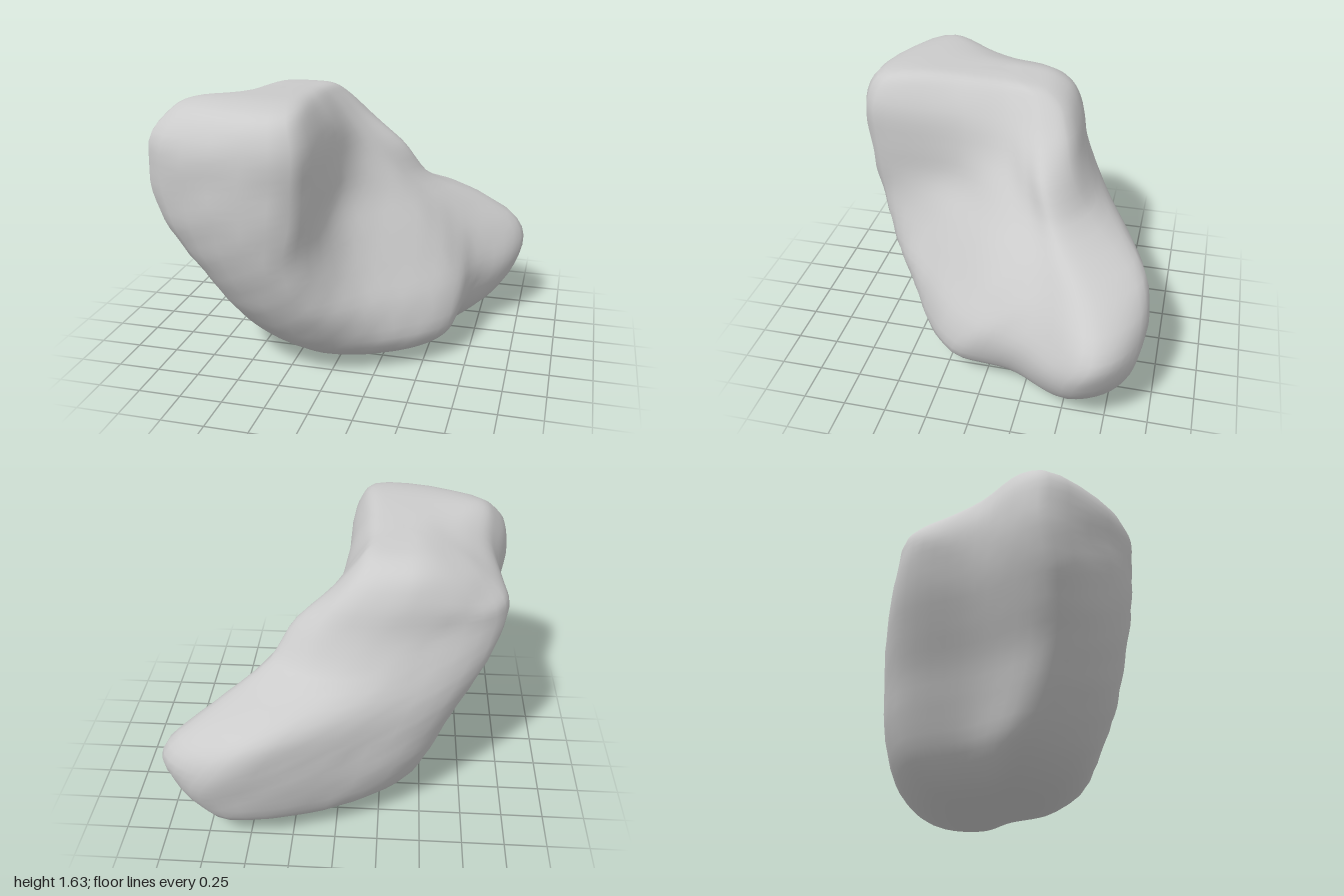
import * as THREE from 'three';

// Horizontal cross-sections: height, then eight (x, z) points running
// front-left, front, inner notch, flank, tail tip, tail back, back, far side.
const SECTIONS = [
  [0.18, -0.49, 0.37, -0.10, 0.58, 0.30, 0.46, 0.61, 0.20, 0.84, -0.54, 0.68, -0.81, 0.06, -0.70, -0.41, -0.38],
  [0.40, -0.61, 0.54, -0.10, 0.74, 0.27, 0.49, 0.65, 0.11, 0.98, -0.60, 0.76, -0.89, 0.00, -0.75, -0.54, -0.39],
  [0.60, -0.70, 0.64, -0.14, 0.82, 0.17, 0.46, 0.57, 0.03, 0.97, -0.68, 0.65, -0.93, -0.06, -0.73, -0.64, -0.35],
  [0.80, -0.82, 0.70, -0.17, 0.87, 0.10, 0.38, 0.43, -0.01, 0.72, -0.60, 0.46, -0.87, -0.17, -0.66, -0.76, -0.29],
  [1.00, -0.92, 0.73, -0.13, 0.89, 0.02, 0.33, 0.27, -0.06, 0.40, -0.38, 0.15, -0.55, -0.30, -0.52, -0.87, -0.22],
  [1.20, -0.97, 0.72, -0.11, 0.90, 0.00, 0.31, 0.09, -0.02, 0.27, -0.28, 0.10, -0.43, -0.38, -0.42, -0.93, -0.15],
  [1.40, -0.95, 0.72, -0.10, 0.90, -0.03, 0.31, -0.02, 0.02, 0.05, -0.23, -0.01, -0.36, -0.42, -0.38, -0.92, -0.13],
  [1.54, -0.86, 0.64, -0.14, 0.83, -0.10, 0.35, -0.11, 0.05, -0.08, -0.19, -0.13, -0.29, -0.45, -0.31, -0.84, -0.08],
];
const AROUND = 60, UP = 48;
const step = THREE.MathUtils.smoothstep;

const middle = ring => ring.reduce((s, p) => s.add(p), new THREE.Vector3()).divideScalar(ring.length);

// Rounded cap ring: a section drawn in towards its middle at a new height
const inset = (ring, scale, y) => {
  const mid = middle(ring);
  return ring.map(p => p.clone().lerp(mid, 1 - scale).setY(y));
};

// One section, with the valley beside the tail and the flattened far side
function sectionRing([y, ...c]) {
  const ring = Array.from({ length: 8 }, (_, i) => new THREE.Vector3(c[2 * i], y, c[2 * i + 1]));
  const mid = middle(ring);
  const between = (a, b, pull) => a.clone().lerp(b, 0.5).lerp(mid, pull);
  const valley = between(ring[3], ring[4], 0.1 * (1 - step(y, 0.5, 1)));
  const farFace = between(ring[7], ring[0], 0.03);
  return [...ring.slice(0, 4), valley, ...ring.slice(4), farFace];
}

// Gentle unevenness of the worn surface
const lump = p => 0.007 * Math.sin(9 * p.x + 5 * p.y) * Math.sin(8 * p.z - 6 * p.y + 1)
  + 0.005 * Math.sin(21 * p.x - 13 * p.z) * Math.sin(19 * p.y + 7 * p.z);

// The top rises towards the front and sinks at its far back corner
const topShift = p => 0.05 * (p.z - 0.1) * step(p.y, 1.2, 1.6)
  - 0.13 * step(-p.x, 0.4, 0.9) * (1 - step(p.z, 0, 0.55)) * step(p.y, 1.1, 1.55);

function stoneGeometry() {
  const rings = SECTIONS.map(sectionRing);
  const first = rings[0], last = rings[rings.length - 1];
  rings.unshift(inset(first, 0, 0.005), inset(first, 0.38, 0.01), inset(first, 0.71, 0.05));
  rings.push(inset(last, 0.76, 1.6), inset(last, 0.38, 1.615), inset(last, 0, 1.615));

  // Smooth each section into a closed loop, then smooth from loop to loop
  const loops = rings.map(r => {
    if (r[0].distanceTo(r[5]) < 1e-6) return Array.from({ length: AROUND }, () => r[0].clone());
    const curve = new THREE.CatmullRomCurve3(r, true, 'centripetal');
    return Array.from({ length: AROUND }, (_, i) => curve.getPoint(i / AROUND));
  });
  const columns = loops[0].map((_, i) =>
    new THREE.CatmullRomCurve3(loops.map(l => l[i]), false, 'centripetal'));
  const pos = [], index = [];
  for (let j = 0; j <= UP; j++) {
    for (const column of columns) {
      const p = column.getPoint(j / UP);
      const d = 1 + lump(p);
      pos.push(p.x * d, Math.max(0, p.y + topShift(p)), p.z * d);
    }
  }
  for (let j = 0; j < UP; j++) {
    for (let i = 0; i < AROUND; i++) {
      const n = (i + 1) % AROUND;
      const a = j * AROUND + i, b = j * AROUND + n, c = a + AROUND, e = b + AROUND;
      if (j > 0) index.push(a, b, e);
      if (j < UP - 1) index.push(a, e, c);
    }
  }
  const g = new THREE.BufferGeometry();
  g.setAttribute('position', new THREE.Float32BufferAttribute(pos, 3));
  g.setIndex(index);
  g.computeVertexNormals();
  return g;
}

export function createModel() {
  const group = new THREE.Group();
  group.name = 'rock';
  const stone = new THREE.Mesh(stoneGeometry(), new THREE.MeshStandardMaterial({ color: 0xcccccc }));
  stone.name = 'stone';
  group.add(stone);
  return group;
}
